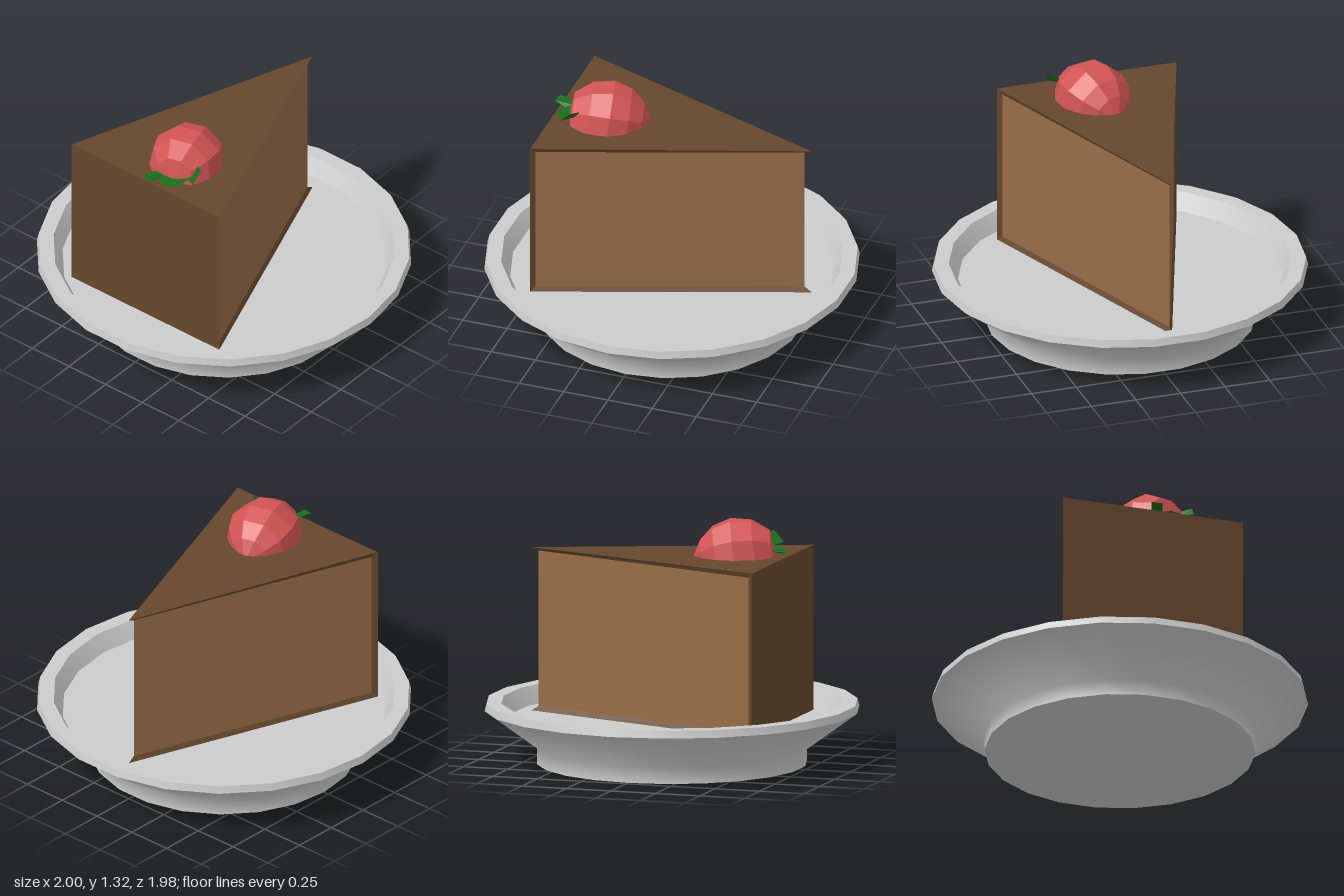
import * as THREE from 'three';
import { toCreasedNormals } from 'three/addons/utils/BufferGeometryUtils.js';

const v2 = (list) => list.map(([x, y]) => new THREE.Vector2(x, y));
const paint = (color, extra = {}) => new THREE.MeshStandardMaterial({ color, ...extra });

function named(name, geometry, material) {
  const mesh = new THREE.Mesh(geometry, material);
  mesh.name = name;
  return mesh;
}

// Flat-faced geometry from polygons, each a loop of corners seen from its front
function fromPolygons(polygons) {
  const pos = [];
  for (const p of polygons) {
    for (let i = 1; i < p.length - 1; i++) pos.push(...p[0], ...p[i], ...p[i + 1]);
  }
  const g = new THREE.BufferGeometry();
  g.setAttribute('position', new THREE.Float32BufferAttribute(pos, 3));
  g.computeVertexNormals();
  return g;
}

// Footed plate with a raised rim
function makePlate() {
  const profile = v2([
    [0, 0], [0.72, 0], [0.72, 0.085], [1, 0.29], [0.99, 0.33],
    [0.91, 0.33], [0.862, 0.238], [0, 0.238],
  ]);
  const g = new THREE.LatheGeometry(profile, 22).rotateY(Math.PI / 2);
  return named('plate', toCreasedNormals(g, 0.97), paint(0xcccccc));
}

// Cake wedge: icing shell with bevelled edges around a recessed sponge panel on each cut side
function makeSlice() {
  const cx = -0.027, front = 0.63, half = 0.504;
  const bottom = 0.242, top = 1.13, lip = 0.026;
  const tipTop = [cx, 1.12, -0.78], tipBottom = [cx, bottom, -0.78];
  const corner = (s, y) => [cx + s * half, y, front];

  const icing = [
    [corner(-1, top), corner(1, top), tipTop],
    [corner(1, bottom), corner(-1, bottom), tipBottom],
    [corner(-1, bottom), corner(1, bottom), corner(1, top), corner(-1, top)],
  ];
  const sponge = [];
  for (const s of [1, -1]) {
    const turn = (loop) => (s > 0 ? loop : loop.reverse());
    const inner = (y) => [cx + s * 0.482, y, 0.605];
    const innerTip = (y) => [cx, y, -0.74];
    const lo = bottom + lip, hi = top - lip;
    icing.push(
      turn([inner(hi), innerTip(hi), tipTop, corner(s, top)]),
      turn([corner(s, bottom), tipBottom, innerTip(lo), inner(lo)]),
      turn([corner(s, bottom), inner(lo), inner(hi), corner(s, top)]),
    );
    sponge.push(turn([inner(lo), innerTip(lo), innerTip(hi), inner(hi)]));
  }

  const slice = new THREE.Group();
  slice.name = 'cakeSlice';
  slice.add(
    named('icing', fromPolygons(icing), paint(0x65472c, { side: THREE.DoubleSide })),
    named('sponge', fromPolygons(sponge), paint(0x976d48, { side: THREE.DoubleSide })),
  );
  return slice;
}

// Faceted strawberry lying on the icing, tip towards the point of the slice
function makeStrawberry() {
  const profile = v2([
    [0, -0.21], [0.11, -0.2], [0.18, -0.11], [0.203, 0], [0.175, 0.1], [0.11, 0.175], [0, 0.235],
  ]);
  const g = new THREE.LatheGeometry(profile, 9, Math.PI / 9).rotateX(-Math.PI / 2);
  const berry = named('berry', g, paint(0xd25454, { flatShading: true }));
  berry.rotation.set(-0.14, 0.29, 0, 'YXZ');
  berry.position.set(0.03, 1.128, 0.345);

  // Jagged leaf collar: a strip between the berry and the leaf tips
  const inner = [
    [-0.01, 1.165, 0.55], [0.02, 1.16, 0.55], [0.05, 1.155, 0.54], [0.08, 1.15, 0.53],
    [0.13, 1.16, 0.51], [0.15, 1.175, 0.49], [0.17, 1.19, 0.47], [0.19, 1.23, 0.455],
  ];
  const outer = [
    [-0.04, 1.17, 0.645], [0.02, 1.165, 0.655], [0.04, 1.15, 0.59], [0.085, 1.145, 0.62],
    [0.165, 1.155, 0.575], [0.175, 1.17, 0.52], [0.23, 1.18, 0.55], [0.24, 1.24, 0.49],
  ];
  const strip = inner.slice(1).map((p, i) => [inner[i], outer[i], outer[i + 1], p]);
  const leaves = named('leaves', fromPolygons(strip), paint(0x14701a, { side: THREE.DoubleSide }));

  const strawberry = new THREE.Group();
  strawberry.name = 'strawberry';
  strawberry.add(berry, leaves);
  return strawberry;
}

export function createModel() {
  const model = new THREE.Group();
  model.name = 'cakeOnPlate';
  model.add(makePlate(), makeSlice(), makeStrawberry());
  return model;
}
